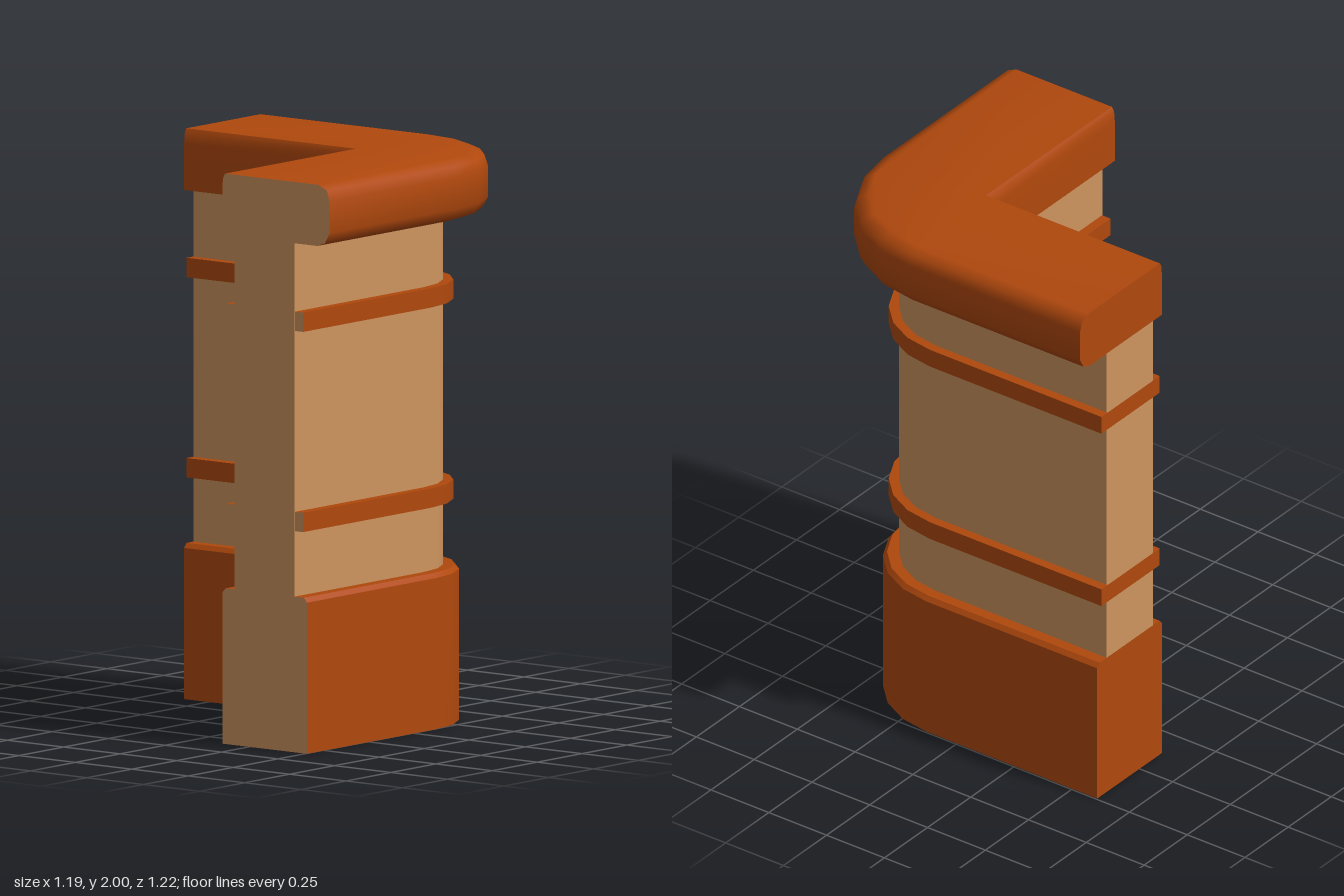
import * as THREE from 'three';
import { toCreasedNormals } from 'three/addons/utils/BufferGeometryUtils.js';

const CX = 0.12, CZ = 0.132;      // inner corner and centre of the rounded outer corner
const END_X = -0.597, END_Z = -0.607; // cut ends of the two arms
const ARC = 5;

// L-shaped outline: r = outer radius, i = inset of the inner faces
function outline(r, i, endX, endZ) {
  const pts = [[endX, CZ + r]];
  for (let k = 0; k <= ARC; k++) {
    const a = (k / ARC) * Math.PI / 2;
    pts.push([CX + r * Math.sin(a), CZ + r * Math.cos(a)]);
  }
  pts.push([CX + r, endZ], [CX + i, endZ], [CX + i, CZ + i], [endX, CZ + i]);
  return pts;
}

// Stack outlines given as [y, r, i]; the -x end strip is returned separately
function loft(levels, { closedTop = false, crease = 0.5, endX = END_X, endZ = END_Z } = {}) {
  const rings = levels.map(([y, r, i]) =>
    outline(r, i, endX, endZ).map(([x, z]) => new THREE.Vector3(x, y, z)));
  const body = [], end = [];
  const add = (list, a, b, c) => {
    if (new THREE.Triangle(a, b, c).getArea() > 1e-8) list.push(a, b, c);
  };
  const n = rings[0].length;
  for (let l = 0; l < rings.length - 1; l++) {
    for (let j = 0; j < n; j++) {
      const k = (j + 1) % n, list = j === n - 1 ? end : body;
      add(list, rings[l][j], rings[l][k], rings[l + 1][k]);
      add(list, rings[l][j], rings[l + 1][k], rings[l + 1][j]);
    }
  }
  if (closedTop) {
    const top = rings[rings.length - 1];
    const flat = top.map(p => new THREE.Vector2(p.x, -p.z));
    for (const [a, b, c] of THREE.ShapeUtils.triangulateShape(flat, []))
      add(body, top[a], top[b], top[c]);
  }
  return [body, end].map(list =>
    toCreasedNormals(new THREE.BufferGeometry().setFromPoints(list), crease));
}

export function createModel() {
  const group = new THREE.Group();
  const material = (name, color) => {
    const m = new THREE.MeshStandardMaterial({ color, side: THREE.DoubleSide });
    m.name = name;
    return m;
  };
  const rust = material('rust', 0xb0480d);
  const tan = material('tan', 0xcf955f);

  function part(name, mat, levels, options) {
    const [body, end] = loft(levels, options);
    const g = new THREE.Group();
    g.name = name;
    const side = new THREE.Mesh(body, mat);
    side.name = name + 'Body';
    const cut = new THREE.Mesh(end, tan);
    cut.name = name + 'CutEnd';
    g.add(side, cut);
    group.add(g);
  }

  // Hollow plinth with a bevelled ledge, open underneath
  part('plinth', rust, [
    [0, 0.375, 0], [0.53, 0.375, 0], [0.546, 0.361, 0.014], [0.546, 0.32, 0.053],
  ]);

  // Corner wall
  part('wall', tan, [[0.546, 0.32, 0.053], [1.785, 0.32, 0.053]]);

  // Two trim bands
  for (const [name, y] of [['lowerBand', 0.775], ['upperBand', 1.477]]) {
    part(name, rust, [
      [y, 0.318, 0.055], [y, 0.355, 0.017], [y + 0.068, 0.355, 0.017], [y + 0.068, 0.318, 0.055],
    ], { endX: END_X + 0.003, endZ: END_Z - 0.003 });
  }

  // Overhanging coping with rounded outer edges
  part('coping', rust, [
    [1.785, 0.318, 0.055], [1.785, 0.42, 0], [1.798, 0.455, 0], [1.835, 0.475, 0],
    [1.945, 0.475, 0], [1.983, 0.463, 0.003], [2, 0.425, 0.012],
  ], { closedTop: true, crease: 0.9 });

  return group;
}
